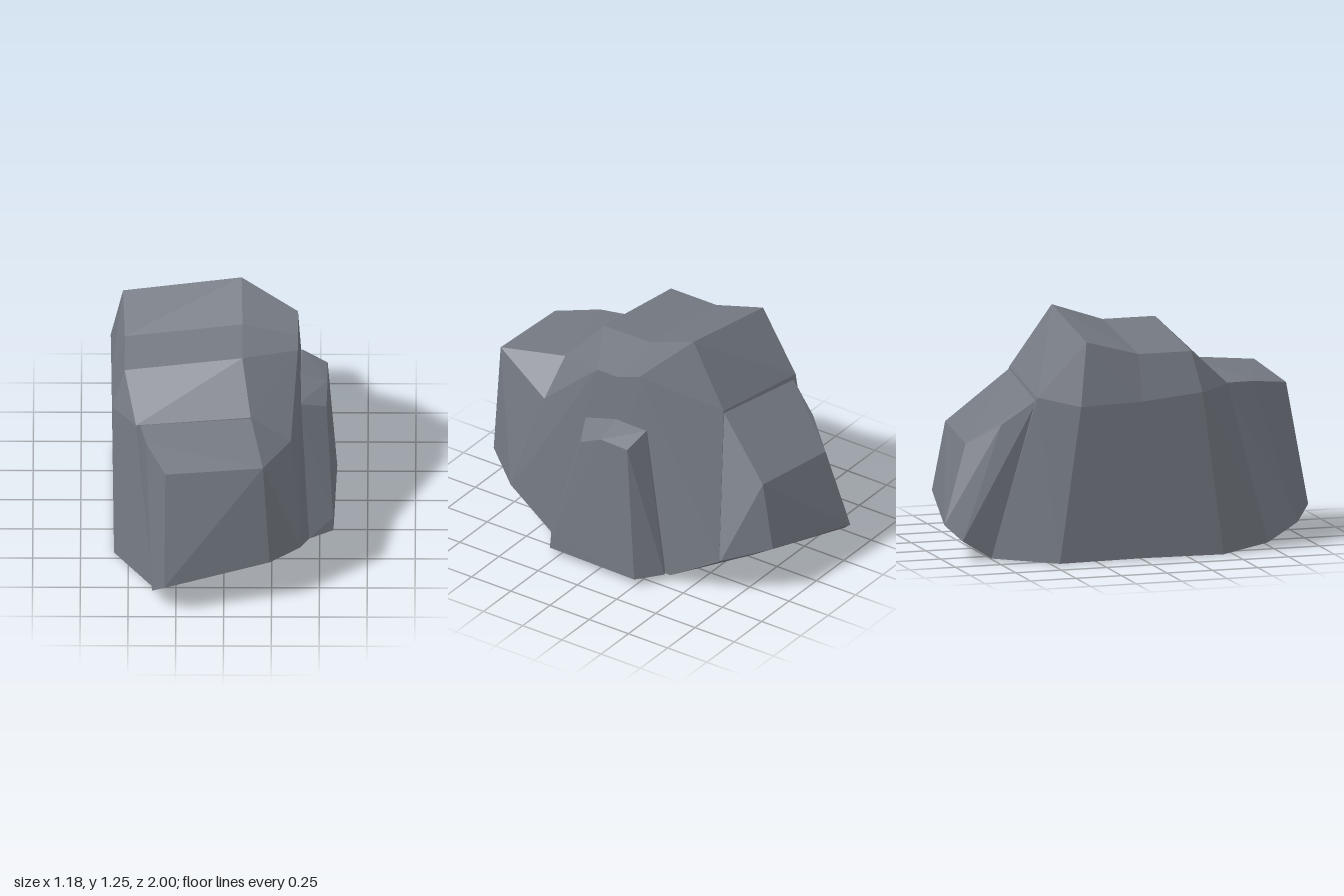
import * as THREE from 'three';
import { ConvexGeometry } from 'three/addons/geometries/ConvexGeometry.js';

// A faceted boulder: overlapping chiselled lumps, each the hull of a few corners.
export function createModel() {
  const rock = new THREE.Group();
  rock.name = 'boulder';
  const stone = new THREE.MeshStandardMaterial({ color: 0x747982, flatShading: true });
  stone.name = 'slate grey stone';

  const lump = (name, corners) => {
    const mesh = new THREE.Mesh(
      new ConvexGeometry(corners.map(c => new THREE.Vector3(...c))), stone);
    mesh.name = name;
    rock.add(mesh);
  };

  // The footing is the same at the front (s = 1) and the back (s = -1).
  const coreFoot = s => [
    [-0.575, 0, 0.45 * s], [-0.37, 0.01, 0.76 * s],
    [0.115, 0.1, 0.67 * s], [0.445, 0.04, 0.38 * s], [0.4, 0.205, 0.66 * s],
  ];
  const blockFoot = s => [
    [-0.37, 0.01, 0.76 * s], [-0.375, 0.11, 0.92 * s], [-0.31, 0.19, s],
    [0.24, 0.275, 0.89 * s], [0.4, 0.205, 0.67 * s],
    [0.115, 0.1, 0.67 * s], [0.445, 0.04, 0.38 * s],
  ];
  // Hidden seam where the two halves of the core meet.
  const seam = [
    [-0.52, 1.08, 0], [0.095, 1.16, 0], [0.385, 1.09, 0],
    [-0.59, 0.84, 0], [-0.577, 0.005, 0], [0.445, 0.035, 0],
  ];

  // Lower, flat-topped half of the core
  lump('frontCore', [
    ...seam, ...coreFoot(1),
    [-0.52, 1.08, 0.29], [0.095, 1.16, 0.29], [0.385, 1.09, 0.13],
    [-0.585, 0.87, 0.33], [-0.46, 0.885, 0.51], [0.14, 0.93, 0.5],
    [0.35, 0.77, 0.49],
  ]);

  // Rear half rising to the crest
  lump('backCore', [
    ...seam, ...coreFoot(-1),
    [-0.53, 1.16, -0.29], [0.09, 1.255, -0.28], [0.385, 1.14, -0.14],
    [-0.595, 0.83, -0.34], [-0.47, 0.87, -0.54], [0.13, 0.93, -0.5],
  ]);

  // Step jutting forward
  lump('frontBlock', [
    ...blockFoot(1),
    [-0.305, 0.845, 0.88], [0.205, 0.88, 0.87], [0.19, 0.885, 0.71],
    [-0.405, 0.88, 0.66], [-0.44, 0.885, 0.5], [0.14, 0.925, 0.49],
    [0.35, 0.77, 0.49], [-0.3, 0.02, 0.3], [0.3, 0.04, 0.3],
  ]);

  // Sloping shoulder at the rear
  lump('backBlock', [
    ...blockFoot(-1),
    [-0.27, 0.61, -0.87], [0.23, 0.64, -0.82], [0.2, 0.7, -0.67],
    [-0.385, 0.72, -0.71], [-0.45, 0.86, -0.53], [0.13, 0.92, -0.5],
    [-0.3, 0.02, -0.3], [0.3, 0.04, -0.3],
  ]);

  // Buttress on the left flank
  lump('sideButtress', [
    [0.385, 0.79, 0.2], [0.4, 0.84, 0], [0.41, 0.84, -0.2],
    [0.535, 0.72, 0.13], [0.54, 0.785, 0], [0.54, 0.78, -0.17],
    [0.57, 0.11, 0.29], [0.572, 0.035, 0.3], [0.59, 0.04, -0.25],
    [0.58, 0.11, -0.24], [0.445, 0.04, 0.38], [0.46, 0.04, -0.35],
    [0.25, 0.04, 0.3], [0.25, 0.04, -0.3], [0.25, 0.79, 0.2], [0.25, 0.84, -0.2],
  ]);

  return rock;
}
